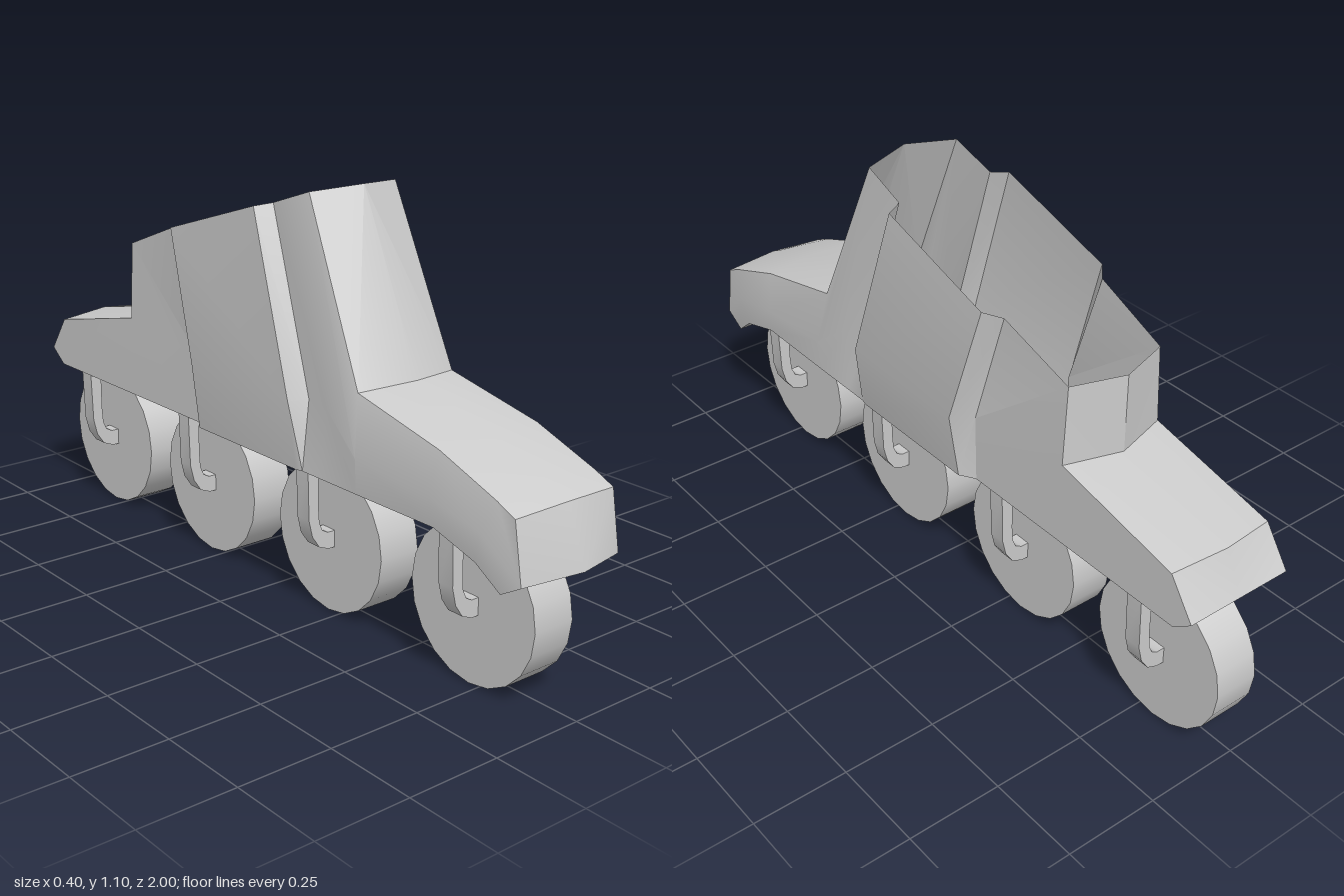
import * as THREE from 'three';
import { toCreasedNormals } from 'three/addons/utils/BufferGeometryUtils.js';

const material = new THREE.MeshStandardMaterial({ color: 0xcccccc, side: THREE.DoubleSide });

// Collects faces for the left half and mirrors each one to the right half
function makeSurface() {
  const points = [];
  const triangle = (a, b, c) => {
    const [va, vb, vc] = [a, b, c].map((p) => new THREE.Vector3(...p));
    if (vb.sub(va).cross(vc.sub(va)).length() < 1e-7) return;
    points.push(...a, ...b, ...c);
    for (const [x, y, z] of [a, c, b]) points.push(-x, y, z);
  };
  return {
    quad(a, b, c, d) { triangle(a, b, c); triangle(a, c, d); },
    mesh(name) {
      const g = new THREE.BufferGeometry();
      g.setAttribute('position', new THREE.Float32BufferAttribute(points, 3));
      const mesh = new THREE.Mesh(toCreasedNormals(g, 0.55), material);
      mesh.name = name;
      return mesh;
    },
  };
}

const centre = ([, y, z]) => [0, y, z];

// Boot shell: columns from toe to heel, each [bottom, middle, top, centre ridge]
function makeBoot() {
  const columns = [
    [[0.155, 0.315, 0.9], [0.155, 0.35, 0.96], [0.155, 0.5, 0.935], [0, 0.507, 0.945]],
    [[0.165, 0.37, 0.83], [0.175, 0.45, 0.85], [0.155, 0.525, 0.88], [0, 0.535, 0.89]],
    [[0.168, 0.41, 0.7], [0.175, 0.48, 0.69], [0.155, 0.59, 0.7], [0, 0.6, 0.71]],
    [[0.17, 0.41, 0.44], [0.175, 0.5, 0.44], [0.15, 0.65, 0.42], [0, 0.662, 0.46]],
    [[0.17, 0.41, 0.31], [0.162, 0.59, 0.32], [0.135, 1.09, 0.22], [0, 1.1, 0.26]],
    // side bulge between its front and rear seams
    [[0.17, 0.41, 0.24], [0.15, 0.59, 0.24], [0.14, 1.046, 0.09]],
    [[0.175, 0.41, 0.22], [0.2, 0.59, 0.22], [0.185, 1.04, 0.07]],
    [[0.175, 0.41, -0.185], [0.2, 0.59, -0.18], [0.185, 0.93, -0.285]],
    [[0.15, 0.41, -0.225], [0.15, 0.59, -0.22], [0.15, 0.92, -0.325]],
    // back of the shaft and heel
    [[0.15, 0.41, -0.54], [0.15, 0.63, -0.54], [0.14, 0.84, -0.54], [0, 0.84, -0.585]],
    [[0.15, 0.41, -0.54], [0.15, 0.63, -0.54], [0.15, 0.63, -0.54], [0, 0.63, -0.585]],
    [[0.15, 0.41, -0.92], [0.15, 0.45, -0.975], [0.15, 0.55, -0.905], [0, 0.56, -0.925]],
  ];
  const s = makeSurface();
  for (let i = 0; i < columns.length - 1; i++) {
    const a = columns[i], b = columns[i + 1];
    s.quad(a[0], b[0], b[1], a[1]);
    s.quad(a[1], b[1], b[2], a[2]);
    if (a[3] && b[3]) s.quad(a[2], b[2], b[3], a[3]);
    s.quad(a[0], centre(a[0]), centre(b[0]), b[0]); // sole
  }
  // pointed nose
  const nose = columns[0], tip = [0, 0.36, 1];
  s.quad(nose[2], nose[3], tip, nose[1]);
  s.quad(nose[1], tip, centre(nose[0]), nose[0]);
  // heel end
  const heel = columns[columns.length - 1];
  s.quad(heel[2], heel[1], centre(heel[1]), heel[3]);
  s.quad(heel[1], heel[0], centre(heel[0]), centre(heel[1]));
  return s.mesh('boot');
}

// Curved bracket joining the sole to the wheel hub
function makeBracketGeometry() {
  const outline = [
    [0.147, 0.412], [0.143, 0.27], [0.132, 0.225], [0.11, 0.192], [0.08, 0.18], [0.055, 0.18],
    [0.055, 0.225], [0.082, 0.225], [0.1, 0.235], [0.11, 0.258], [0.113, 0.3], [0.113, 0.412],
  ].map(([x, y]) => new THREE.Vector2(x, y));
  const g = new THREE.ExtrudeGeometry(new THREE.Shape(outline), { depth: 0.046, bevelEnabled: false });
  g.translate(0, 0, -0.023);
  return toCreasedNormals(g, 0.7);
}

export function createModel() {
  const model = new THREE.Group();
  model.name = 'inlineSkate';
  model.add(makeBoot());

  const wheelGeometry = new THREE.CylinderGeometry(0.2, 0.2, 0.12, 20).rotateZ(Math.PI / 2);
  const bracketGeometry = makeBracketGeometry();
  for (const z of [0.72, 0.21, -0.3, -0.795]) {
    const unit = new THREE.Group();
    unit.name = 'wheelUnit';
    unit.position.z = z;

    const wheel = new THREE.Mesh(wheelGeometry, material);
    wheel.name = 'wheel';
    wheel.position.y = 0.2;
    unit.add(wheel);

    for (const turn of [0, Math.PI]) {
      const bracket = new THREE.Mesh(bracketGeometry, material);
      bracket.name = turn ? 'rightBracket' : 'leftBracket';
      bracket.rotation.y = turn;
      unit.add(bracket);
    }
    model.add(unit);
  }
  return model;
}
